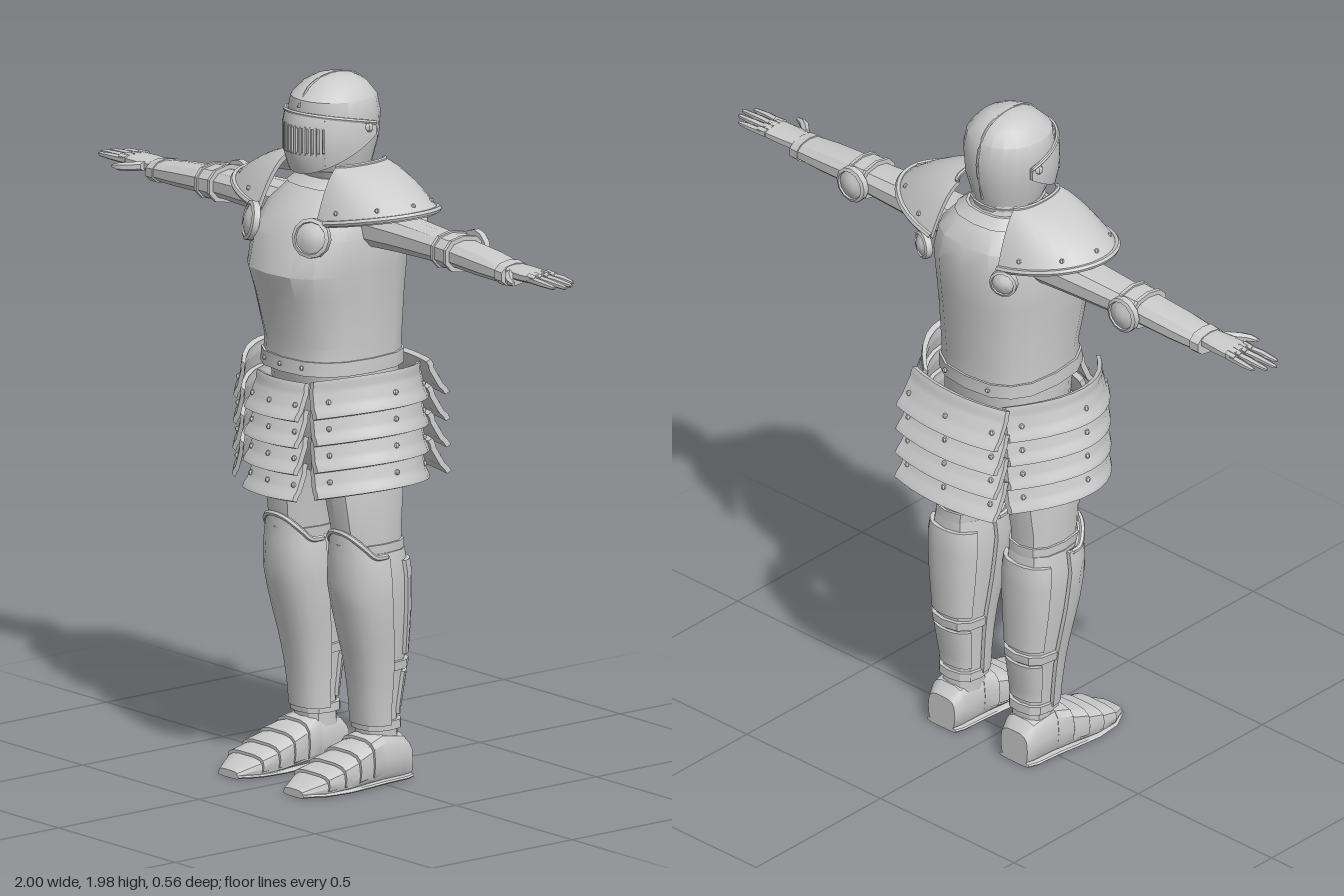
import * as THREE from 'three';
import { toCreasedNormals, mergeGeometries } from 'three/addons/utils/BufferGeometryUtils.js';

const steel = new THREE.MeshStandardMaterial({ color: 0xcccccc, side: THREE.DoubleSide });
const spow = (v, p) => Math.sign(v) * Math.abs(v) ** p;

// Surface through rows of points, each row being a closed loop
function skin(rows) {
  const n = rows[0].length, index = [];
  for (let i = 0; i < rows.length - 1; i++) for (let j = 0; j < n; j++) {
    const k = (j + 1) % n, a = i * n + j, b = i * n + k, c = a + n, d = b + n;
    index.push(a, c, b, b, c, d);
  }
  const g = new THREE.BufferGeometry();
  g.setAttribute('position', new THREE.Float32BufferAttribute(rows.flat(2), 3));
  g.setIndex(index);
  return g;
}

// Capped body from sections [y, centre x, half width, front z, back z]
function loft(secs, n = 16, p = 0.8) {
  const ring = ([y, c, rx, f, b], k = 1) => Array.from({ length: n }, (_, i) => {
    const a = i / n * Math.PI * 2;
    return [c + k * rx * spow(Math.cos(a), p), y, (f + b) / 2 + k * (f - b) / 2 * spow(Math.sin(a), p)];
  });
  return skin([ring(secs[0], 0), ...secs.map(s => ring(s)), ring(secs.at(-1), 0)]);
}

// Section of a body at height y
function at(secs, y) {
  let i = 0;
  while (i < secs.length - 2 && secs[i + 1][0] < y) i++;
  const t = THREE.MathUtils.clamp((y - secs[i][0]) / (secs[i + 1][0] - secs[i][0]), 0, 1);
  return secs[i].map((v, k) => k ? v + (secs[i + 1][k] - v) * t : y);
}

// Strap around a body
function band(secs, y0, y1, g, n = 16, p = 0.8) {
  const grow = y => { const [, c, r, f, b] = at(secs, y); return [y, c, r + g, f + g, b - g]; };
  return loft([grow(y0), grow((y0 + y1) / 2), grow(y1)], n, p);
}

// Curved plate with thickness; fn(u, v, depth) with depth 0 outside and 1 inside
function plate(fn, nu, nv) {
  const loop = (u, mid) => {
    const pts = [];
    for (let d = 0; d < 2; d++) for (let j = 0; j <= nv; j++)
      pts.push(fn(u, (d ? nv - j : j) / nv, mid ? 0.5 : d));
    return pts;
  };
  const rows = [loop(0, true)];
  for (let i = 0; i <= nu; i++) rows.push(loop(i / nu, false));
  return skin([...rows, loop(1, true)]);
}

// Plate lying on a body between angles a0 and a1 (0 is the front)
const plateOn = (secs, a0, a1, y0, y1, g) => plate((u, v, d) => {
  const a = a0 + (a1 - a0) * u, lo = y0(a), y = lo + (y1(a) - lo) * v;
  const [, c, r, f, b] = at(secs, y), o = g - d * 0.012;
  return [c + (r + o) * spow(Math.sin(a), 0.8), y, (f + b) / 2 + ((f - b) / 2 + o) * spow(Math.cos(a), 0.8)];
}, 10, 8);

const rivets = (pts, r = 0.007) =>
  mergeGeometries(pts.map(p => new THREE.SphereGeometry(r, 7, 5).translate(...p)));
const tube = (pts, r, n = 24) =>
  new THREE.TubeGeometry(new THREE.CatmullRomCurve3(pts.map(p => new THREE.Vector3(...p))), n, r, 6);

function mirrored(geo) {
  const g = geo.clone().scale(-1, 1, 1);
  for (const { array, itemSize: s, count } of Object.values(g.attributes))
    for (let t = 0; t < count; t += 3) for (let k = 0; k < s; k++) {
      const a = (t + 1) * s + k, b = a + s;
      [array[a], array[b]] = [array[b], array[a]];
    }
  return g;
}

// Four overlapping lames hanging down, facing +z
function tasset(W, bulge, flare, drop) {
  const parts = [], dots = [];
  for (let k = 0; k < 4; k++) {
    const fn = (u, v, d) => {
      const s = 1 - 2 * u, lip = v < 0.13 || v > 0.87 ? 0.006 : 0;
      return [s * W * (1 + 0.05 * v), -k * 0.075 - 0.1 * v - drop * s * s - d * 0.006,
        bulge * (1 - s * s) + flare * v + lip + k * 0.002 - d * 0.016];
    };
    parts.push(plate(fn, 10, 8));
    for (const u of [0.07, 0.5, 0.93]) dots.push(fn(u, 0.6, 0));
  }
  return [mergeGeometries(parts), rivets(dots, 0.008)];
}

export function createModel() {
  const model = new THREE.Group();
  const add = (name, geo, both = false) => {
    const g = toCreasedNormals(geo, 0.55);
    for (const [side, gg] of both ? [['left', g], ['right', mirrored(g)]] : [['', g]]) {
      const m = new THREE.Mesh(gg, steel);
      m.name = side ? side + name[0].toUpperCase() + name.slice(1) : name;
      model.add(m);
    }
  };

  // Helmet
  const skull = [[1.70, 0, 0.088, 0.10, -0.08], [1.74, 0, 0.10, 0.125, -0.09], [1.80, 0, 0.115, 0.14, -0.106],
    [1.87, 0, 0.122, 0.148, -0.11], [1.92, 0, 0.113, 0.14, -0.10], [1.955, 0, 0.083, 0.105, -0.073],
    [1.973, 0, 0.05, 0.07, -0.038], [1.98, 0, 0.012, 0.03, 0]];
  add('helmet', loft(skull, 20, 0.95));
  add('helmetRim', band(skull, 1.70, 1.72, 0.007, 20, 0.95));
  add('helmetSeam', tube([[0, 1.90, 0.146], [0, 1.955, 0.105], [0, 1.978, 0.02], [0, 1.955, -0.073], [0, 1.87, -0.11], [0, 1.74, -0.09]], 0.004));

  // Visor with barred window
  const vis = (a, y, d = 0) => {
    const k = 1 - 0.12 * ((1.82 - y) / 0.1) ** 2;
    return [(0.13 * k - d * 0.01) * Math.sin(a), y, (0.174 * k - d * 0.01) * Math.cos(a)];
  };
  const top = a => 1.89 - 0.012 * a * a, bottom = a => 1.715 + 0.036 * a * a;
  const visPlate = (a0, a1, lo, hi) => plate((u, v, d) => {
    const a = a0 + (a1 - a0) * u;
    return vis(a, lo(a) + (hi(a) - lo(a)) * v, d);
  }, 10, 4);
  add('visorBrow', visPlate(-0.75, 0.75, () => 1.85, top));
  add('visorChin', visPlate(-0.75, 0.75, bottom, () => 1.78));
  add('visorCheek', visPlate(0.75, 1.72, bottom, top), true);
  const bars = [];
  for (let i = -6; i <= 6; i++) {
    const a = i * 0.115, [x, , z] = vis(a, 1.815, 0.5);
    bars.push(new THREE.BoxGeometry(0.007, 0.08, 0.008).rotateY(a).translate(x, 1.815, z));
  }
  add('visorBars', mergeGeometries(bars));
  add('browBand', tube(Array.from({ length: 13 }, (_, i) => {
    const a = (i / 6 - 1) * 1.72; return vis(a, top(a)); }), 0.006, 36));
  add('visorPivot', rivets([[0.124, 1.845, 0]], 0.015), true);

  // Cuirass and hips
  const torso = [[1.17, 0, 0.17, 0.205, -0.155], [1.24, 0, 0.168, 0.20, -0.155], [1.38, 0, 0.177, 0.238, -0.165],
    [1.45, 0, 0.182, 0.262, -0.173], [1.55, 0, 0.188, 0.235, -0.178], [1.62, 0, 0.17, 0.185, -0.165],
    [1.67, 0, 0.125, 0.135, -0.125], [1.70, 0, 0.09, 0.10, -0.09], [1.76, 0, 0.08, 0.08, -0.07]];
  add('cuirass', loft(torso, 16, 0.75));
  add('cuirassHem', band(torso, 1.165, 1.205, 0.006, 16, 0.75));
  add('collar', band(torso, 1.675, 1.70, 0.008, 16, 0.75));
  add('hips', loft([[0.86, 0, 0.09, 0.09, -0.07], [0.93, 0, 0.15, 0.14, -0.11],
    [1.06, 0, 0.168, 0.165, -0.14], [1.18, 0, 0.165, 0.185, -0.15]]));
  add('hemRivets', rivets([[0.08, 1.187, 0.2], [-0.08, 1.187, 0.2], [0, 1.187, 0.212], [0.08, 1.187, -0.155], [-0.08, 1.187, -0.155]]));

  // Hanging skirt plates: front, back and sides
  tasset(0.103, 0.022, 0.045, 0).forEach((g, i) => add(i ? 'frontTassetRivets' : 'frontTasset', g.translate(0, 1.15, 0.20)));
  tasset(0.175, 0.028, 0.06, 0).forEach((g, i) => add(i ? 'backTassetRivets' : 'backTasset', g.rotateY(Math.PI).translate(0, 1.17, -0.175)));
  tasset(0.19, 0.115, 0.025, 0.025).forEach((g, i) =>
    add(i ? 'sideTassetRivets' : 'sideTasset', g.rotateY(Math.PI / 2).translate(0.148, 1.19, 0.03), true));

  // Shoulder plates
  const pauldron = (u, v, d) => {
    const a = (u - 0.5) * Math.PI, c = Math.cos(a), s = Math.sin(a);
    const x = 0.105 + 0.03 * c + v * (0.02 + 0.205 * c), drop = 0.145 - 0.045 * c;
    return [x, 1.745 - drop * (0.3 * v + 0.7 * v * v) - d * 0.012, 0.012 + s * (0.085 + 0.09 * v) - d * s * 0.008];
  };
  add('pauldron', plate(pauldron, 14, 7), true);
  const rim = v => Array.from({ length: 15 }, (_, i) => pauldron(i / 14, v, 0));
  add('pauldronRim', tube(rim(1), 0.009, 36), true);
  add('pauldronCollar', tube(rim(0), 0.006, 30), true);
  add('pauldronRivets', rivets([0.1, 0.3, 0.5, 0.7, 0.9].map(u => pauldron(u, 0.88, 0))), true);

  // Armpit discs, front and back
  const disc = r => new THREE.LatheGeometry([[0, -0.01], [r, -0.01], [r, 0.008], [r * 0.82, 0.012], [r * 0.78, 0.007],
    [r * 0.4, 0.017], [0, 0.021]].map(p => new THREE.Vector2(...p)), 12).rotateX(Math.PI / 2);
  add('chestDisc', disc(0.056).rotateX(-0.2).rotateY(0.45).translate(0.13, 1.565, 0.207), true);
  add('backDisc', disc(0.04).rotateY(Math.PI - 0.4).translate(0.15, 1.565, -0.165), true);

  // Arms, drawn upright then laid along x
  const lay = g => g.rotateZ(-Math.PI / 2).translate(0, 1.565, 0);
  const arm = [[0.14, -0.005, 0.055, 0.07, -0.075], [0.30, -0.007, 0.048, 0.065, -0.07], [0.46, -0.004, 0.041, 0.058, -0.06],
    [0.55, -0.002, 0.038, 0.06, -0.056], [0.66, 0.004, 0.035, 0.06, -0.052], [0.765, 0.011, 0.028, 0.054, -0.042]];
  add('arm', lay(loft(arm, 10, 0.85)), true);
  add('cuff', lay(band(arm, 0.735, 0.765, 0.004, 10, 0.85)), true);
  add('elbowBand', lay(band(arm, 0.475, 0.54, 0.008, 10, 0.85)), true);
  for (const x of [0.475, 0.53])
    add('elbowEdge', lay(band(arm, x, x + 0.01, 0.013, 10, 0.85)), true);
  add('elbowCap', disc(0.052).rotateY(Math.PI).translate(0.507, 1.568, -0.068), true);
  add('palm', lay(loft([[0.75, 0, 0.018, 0.042, -0.03], [0.81, 0, 0.018, 0.05, -0.036], [0.88, 0, 0.014, 0.048, -0.038]], 10, 0.7)), true);
  [[-0.029, 0.965], [-0.006, 0.99], [0.017, 1.0], [0.039, 0.98]].forEach(([z, tip]) => {
    const k = z * 1.15;
    add('finger', lay(loft([[0.865, 0, 0.011, z + 0.011, z - 0.011], [0.925, 0, 0.010, k + 0.01, k - 0.01],
      [tip - 0.01, 0.002, 0.007, k + 0.007, k - 0.007], [tip, 0.002, 0.003, k + 0.003, k - 0.003]], 6, 1)), true);
    add('knuckle', lay(loft([[0.862, -0.004, 0.013, z + 0.012, z - 0.012], [0.893, -0.002, 0.012, z + 0.011, z - 0.011]], 6, 1)), true);
  });
  add('thumb', lay(loft([[0.785, 0, 0.013, 0.06, 0.03], [0.815, 0.003, 0.013, 0.088, 0.054],
    [0.84, 0.005, 0.011, 0.1, 0.076], [0.862, 0.006, 0.005, 0.1, 0.088]], 6, 1)), true);

  // Legs
  const thigh = [[0.64, 0.137, 0.07, 0.105, -0.085], [0.72, 0.135, 0.074, 0.118, -0.085],
    [0.85, 0.125, 0.08, 0.138, -0.10], [1.02, 0.098, 0.085, 0.14, -0.11]];
  const shin = [[0.11, 0.13, 0.055, 0.03, -0.08], [0.2, 0.131, 0.057, 0.032, -0.075], [0.33, 0.134, 0.068, 0.05, -0.095],
    [0.48, 0.137, 0.084, 0.09, -0.10], [0.59, 0.138, 0.09, 0.112, -0.10], [0.66, 0.138, 0.08, 0.105, -0.09], [0.74, 0.136, 0.074, 0.1, -0.085]];
  add('thigh', loft(thigh, 12), true);
  add('shin', loft(shin.slice(0, 6), 12), true);
  add('kneeStrap', band(thigh, 0.655, 0.685, 0.007, 12), true);
  const peak = a => 0.655 + 0.065 * Math.max(0, Math.cos(a * 1.3));
  add('greave', plateOn(shin, -1.55, 1.55, () => 0.165, peak, 0.014), true);
  add('greaveEdge', tube(Array.from({ length: 11 }, (_, i) => {
    const a = (i / 5 - 1) * 1.5, [, c, r, f, b] = at(shin, peak(a));
    return [c + (r + 0.014) * spow(Math.sin(a), 0.8), peak(a), (f + b) / 2 + ((f - b) / 2 + 0.014) * spow(Math.cos(a), 0.8)];
  }), 0.008, 30), true);
  add('calfPlate', plateOn(shin, Math.PI - 1.1, Math.PI + 1.1, () => 0.36, () => 0.63, 0.009), true);
  add('lowerCalfPlate', plateOn(shin, Math.PI - 1.1, Math.PI + 1.1, () => 0.19, () => 0.31, 0.009), true);
  add('calfStrap', band(shin, 0.32, 0.345, 0.011, 12), true);
  add('ankleStrap', band(shin, 0.15, 0.175, 0.01, 12), true);
  add('greaveRivets', rivets([[0.205, 0.62, 0.09], [0.071, 0.62, 0.09], [0.18, 0.19, 0.025], [0.085, 0.19, 0.025]]), true);

  // Feet, drawn upright then laid along z
  const foot = [[-0.108, 0.136, 0.05, 0, -0.10], [-0.08, 0.137, 0.06, 0, -0.13], [0, 0.138, 0.065, 0, -0.145],
    [0.06, 0.14, 0.072, 0, -0.12], [0.14, 0.142, 0.08, 0, -0.082], [0.22, 0.142, 0.072, 0, -0.05], [0.28, 0.14, 0.04, 0, -0.022]];
  add('foot', loft(foot, 14, 0.6).rotateX(Math.PI / 2), true);
  for (const z of [0.0, 0.055, 0.11, 0.165]) {
    const [, c, r, , b] = at(foot, z), [, c2, r2, , b2] = at(foot, z + 0.05);
    add('footLame', loft([[z, c, r + 0.001, -0.008, b - 0.001], [z + 0.05, c2, r2 + 0.006, -0.008, b2 - 0.008]], 14, 0.6).rotateX(Math.PI / 2), true);
  }
  add('sole', loft(foot.map(([z, c, r]) => [z, c, r + 0.005, 0, -0.014]), 14, 0.6).rotateX(Math.PI / 2), true);
  return model;
}
